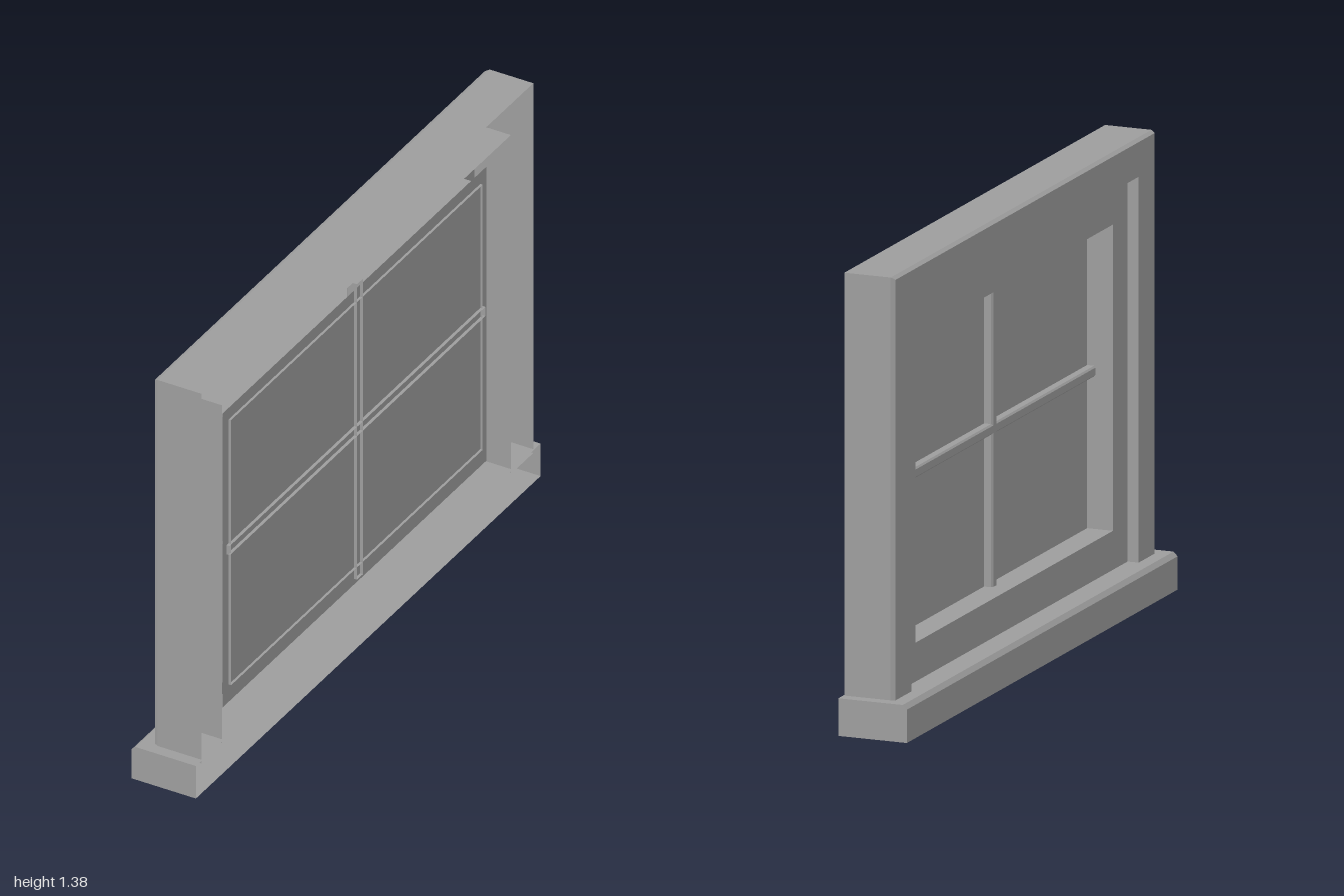
import * as THREE from 'three';

const material = new THREE.MeshStandardMaterial({ color: 0x9d9d9d, side: THREE.DoubleSide });

// Thin shell swept through rectangular loops, each [x, z0, z1, y0, y1].
function shell(name, loops) {
  const corners = ([x, z0, z1, y0, y1]) => [[x, y0, z0], [x, y0, z1], [x, y1, z1], [x, y1, z0]];
  const positions = [];
  for (let i = 0; i < loops.length - 1; i++) {
    const a = corners(loops[i]);
    const b = corners(loops[i + 1]);
    for (let k = 0; k < 4; k++) {
      const n = (k + 1) % 4;
      positions.push(...a[k], ...a[n], ...b[n], ...a[k], ...b[n], ...b[k]);
    }
  }
  const geometry = new THREE.BufferGeometry();
  geometry.setAttribute('position', new THREE.Float32BufferAttribute(positions, 3));
  geometry.computeVertexNormals();
  const mesh = new THREE.Mesh(geometry, material);
  mesh.name = name;
  return mesh;
}

// Glazing bar: a channel open toward the wall side, with a small bevel on its face.
function glazingBar(name, z0, z1, y0, y1) {
  const bevel = 0.005;
  const inset = [z0 + bevel, z1 - bevel, y0 + bevel, y1 - bevel];
  const middle = (y0 + y1) / 2;
  return shell(name, [
    [0.072, z0, z1, y0, y1],
    [0.04, z0, z1, y0, y1],
    [0.035, ...inset],
    [0.035, inset[0], inset[1], middle, middle],
  ]);
}

export function createModel() {
  const model = new THREE.Group();
  model.name = 'window';

  // Hollow sill, open at the wall side, bevelled along its outer top edge
  model.add(shell('sill', [
    [0.108, -1, 1, 0, 0.113],
    [-0.096, -1, 1, 0, 0.113],
    [-0.109, -1, 1, 0, 0.1],
    [-0.109, -1, 1, 0.05, 0.05],
  ]));

  // Outer casing: outside walls, bevel, face, then the jamb lining running back
  model.add(shell('casing', [
    [0.105, -0.963, 0.963, 0.1, 1.383],
    [-0.042, -0.963, 0.963, 0.1, 1.383],
    [-0.055, -0.956, 0.956, 0.1, 1.376],
    [-0.055, -0.838, 0.838, 0.1, 1.272],
    [0.102, -0.838, 0.838, 0.1, 1.272],
  ]));

  // Sash: flat face let into the jamb, with a deep reveal back to just past the glass
  model.add(shell('sash', [
    [-0.02, -0.85, 0.85, 0.105, 1.285],
    [-0.02, -0.73, 0.73, 0.23, 1.15],
    [0.07, -0.73, 0.73, 0.23, 1.15],
  ]));

  // Glass sheet
  const glass = new THREE.Mesh(new THREE.PlaneGeometry(1.53, 1.02), material);
  glass.name = 'glass';
  glass.rotation.y = Math.PI / 2;
  glass.position.set(0.062, 0.68, 0);
  model.add(glass);

  // Crossed glazing bars
  model.add(glazingBar('verticalBar', -0.031, 0.003, 0.19, 1.215));
  model.add(glazingBar('horizontalBar', -0.742, 0.742, 0.688, 0.72));

  return model;
}
